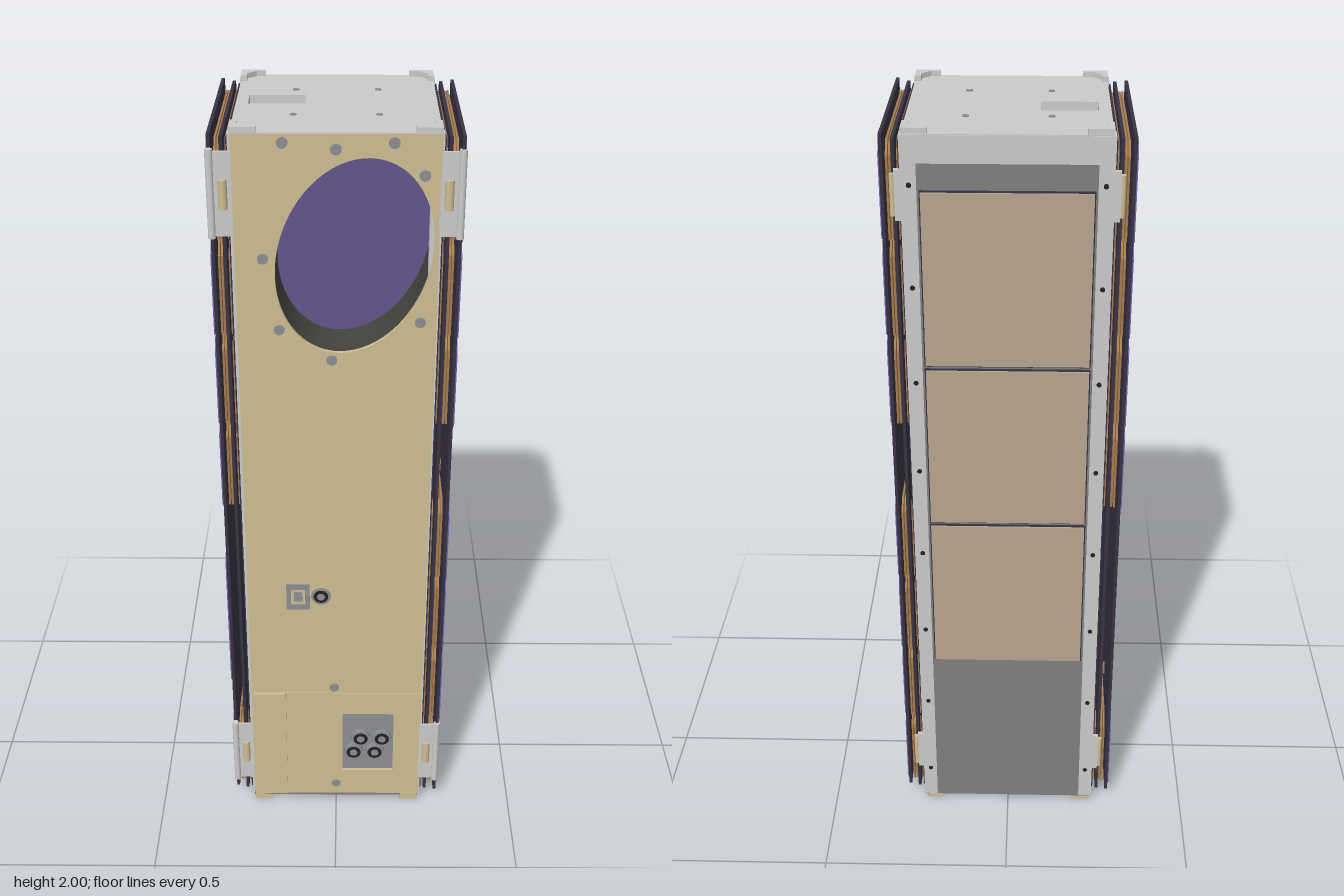
import * as THREE from 'three';

const mat = (color) => new THREE.MeshStandardMaterial({ color });
const GREY = mat(0xcccccc), TAN = mat(0xd0be94), CELL = mat(0x7464b0), BOARD = mat(0x3a3444),
  DARK = mat(0x44443f), PLATE = mat(0x808080), PATCH = mat(0xb8a58e), METAL = mat(0x8c8f94),
  BROWN = mat(0xa87c50), BLACK = mat(0x222222), LENS = mat(0x64558e);

export function createModel() {
  const root = new THREE.Group();

  const add = (name, geo, m, x = 0, y = 0, z = 0) => {
    const mesh = new THREE.Mesh(geo, m);
    mesh.name = name;
    mesh.position.set(x, y, z);
    root.add(mesh);
    return mesh;
  };
  // box given by its limits on each axis
  const box = (name, m, x0, x1, y0, y1, z0, z1) =>
    add(name, new THREE.BoxGeometry(Math.abs(x1 - x0), y1 - y0, z1 - z0), m, (x0 + x1) / 2, (y0 + y1) / 2, (z0 + z1) / 2);
  // cylinder along the z axis, used for screws and sockets
  const stud = (name, m, r, x, y, z, h) => {
    const mesh = add(name, new THREE.CylinderGeometry(r, r, h, 20), m, x, y, z);
    mesh.rotation.x = Math.PI / 2;
    return mesh;
  };
  const poly = (pts) => new THREE.Shape(pts.map(([x, y]) => new THREE.Vector2(x, y)));
  const rect = (x0, x1, y0, y1) => poly([[x0, y0], [x1, y0], [x1, y1], [x0, y1]]);
  const extrude = (shape, depth) => new THREE.ExtrudeGeometry(shape, { depth, bevelEnabled: false, curveSegments: 48 });
  const ellipse = () => new THREE.Path().absellipse(0.042, 1.69, 0.178, 0.245, 0, Math.PI * 2, true, -0.29);

  // Body core, with a front part bored out for the slanted oval aperture
  box('bodyCore', DARK, -0.232, 0.232, 0.02, 1.95, -0.235, 0.103);
  const frame = rect(-0.232, 0.232, 0.02, 1.95);
  frame.holes.push(ellipse());
  add('apertureBlock', extrude(frame, 0.125), DARK, 0, 0, 0.103);
  add('apertureFloor', new THREE.ShapeGeometry(new THREE.Shape(ellipse().getPoints(48).reverse()), 48), LENS, 0, 0, 0.105);

  // Front panel with the aperture and the socket bay cut out
  const front = rect(-0.235, 0.238, 0.025, 1.985);
  front.holes.push(ellipse(), rect(0.018, 0.162, 0.115, 0.325));
  add('frontPanel', extrude(front, 0.01), TAN, 0, 0, 0.228);
  const lower = rect(-0.14, 0.235, 0.03, 0.4);
  lower.holes.push(rect(0.018, 0.162, 0.115, 0.325));
  add('lowerFrontPlate', extrude(lower, 0.003), TAN, 0, 0, 0.237);
  box('lowerFrontCover', TAN, -0.23, -0.14, 0.03, 0.4, 0.237, 0.247);

  // Socket bay and the small sockets above it
  box('socketBayFloor', METAL, 0.018, 0.162, 0.115, 0.325, 0.227, 0.231);
  const socket = (x, y, r) => {
    stud('socketRing', METAL, r, x, y, 0.235, 0.014);
    stud('socketCore', BLACK, r * 0.75, x, y, 0.237, 0.012);
    stud('socketPin', METAL, r * 0.4, x, y, 0.238, 0.013);
  };
  for (const [x, y] of [[0.07, 0.235], [0.13, 0.235], [0.05, 0.185], [0.11, 0.185]]) socket(x, y, 0.027);
  socket(-0.04, 0.732, 0.026);
  const port = rect(-0.132, -0.07, 0.69, 0.77);
  port.holes.push(rect(-0.12, -0.082, 0.705, 0.755));
  add('portFrame', extrude(port, 0.006), METAL, 0, 0, 0.237);
  box('portInner', METAL, -0.112, -0.09, 0.715, 0.745, 0.237, 0.241);

  for (const [x, y] of [[0, 1.95], [-0.12, 1.965], [0.13, 1.965], [0.2, 1.89], [-0.17, 1.69],
    [-0.135, 1.51], [0.2, 1.53], [-0.01, 1.43], [-0.005, 0.42], [0, 0.065]])
    stud('frontScrew', METAL, 0.013, x, y, 0.238, 0.006);

  // Corner rails
  for (const sx of [-1, 1]) {
    box('frontRail', GREY, sx * 0.215, sx * 0.242, 0.02, 1.985, 0.205, 0.235);
    box('backRail', GREY, sx * 0.205, sx * 0.242, 0.02, 1.985, -0.242, -0.205);
    for (let i = 0; i < 8; i++) stud('railScrew', BLACK, 0.006, sx * 0.222, 0.12 + i * 0.25, -0.242, 0.004);
  }

  // Top plate with a pocket, screws and corner brackets
  const top = rect(-0.237, 0.237, -0.235, 0.24);
  top.holes.push(rect(-0.208, -0.074, -0.013, 0.058));
  add('topPlate', extrude(top, 0.04), GREY, 0, 1.947, 0).rotation.x = -Math.PI / 2;
  box('pocketFloor', DARK, -0.21, -0.07, 1.945, 1.952, -0.06, 0.015);
  for (const x of [-0.099, 0.099]) for (const z of [-0.105, 0.1])
    add('topScrew', new THREE.CylinderGeometry(0.008, 0.008, 0.004, 16), METAL, x, 1.987, z);
  for (const sx of [-1, 1]) for (const sz of [-1, 1]) {
    // L-shaped bracket, drawn for each corner
    const pts = [[0.238, 0.238], [0.178, 0.238], [0.178, 0.226], [0.2, 0.226], [0.222, 0.204], [0.222, 0.182], [0.238, 0.182]]
      .map(([x, z]) => [x * sx, z * sz]);
    add('topBracket', extrude(poly(pts), 0.013), GREY, 0, 1.987, 0).rotation.x = -Math.PI / 2;
    // Feet below
    box('foot', TAN, sx * 0.185, sx * 0.235, 0, 0.03, sz > 0 ? 0.185 : -0.235, sz > 0 ? 0.235 : -0.185);
  }

  // Bottom plate and nozzle ring
  box('bottomPlate', PLATE, -0.237, 0.237, 0.015, 0.03, -0.238, 0.235);
  const ring = [[0.05, 0.016], [0.05, 0.002], [0.068, 0.002], [0.08, 0.008], [0.08, 0.016]].map(([r, y]) => new THREE.Vector2(r, y));
  const ringMat = METAL.clone();
  ringMat.side = THREE.DoubleSide;
  add('nozzleRing', new THREE.LatheGeometry(ring, 40), ringMat);
  add('nozzleOpening', new THREE.CylinderGeometry(0.052, 0.052, 0.004, 32), BLACK, 0, 0.014, 0);

  // Back: grey panel, top strip and three patch plates
  box('backPanel', PLATE, -0.207, 0.207, 0.025, 1.93, -0.241, -0.23);
  box('backTopStrip', GREY, -0.21, 0.21, 1.92, 1.985, -0.242, -0.23);
  for (let i = 0; i < 3; i++) {
    const y = 0.52 + i * 0.448;
    box('patchBorder', BOARD, -0.2, 0.2, y, y + 0.442, -0.245, -0.24);
    box('patchPlate', PATCH, -0.197, 0.197, y + 0.004, y + 0.438, -0.25, -0.244);
  }

  // Solar cell facing outward on side s, with clipped upper corners
  const cell = (name, m, s, x, z0, z1, y0, y1, t) => {
    const w = (z1 - z0) / 2, c = 0.03;
    const shape = poly([[-w, y0], [w, y0], [w, y1 - c], [w - c, y1], [c - w, y1], [-w, y1 - c]]);
    add(name, extrude(shape, t), m, s * x, 0, (z0 + z1) / 2).rotation.y = s * Math.PI / 2;
  };
  const rows = { '1': [0.06, 0.3, 0.54, 0.78, 1.245, 1.487, 1.73], '-1': [0.06, 1.005, 1.245, 1.487, 1.73] };

  // Folded solar wings on both sides
  for (const s of [-1, 1]) {
    const zb = s > 0 ? -0.222 : -0.234, zf = s > 0 ? 0.235 : 0.222;
    box('sideBoard', BOARD, s * 0.23, s * 0.246, 0.04, 1.97, -0.225, 0.225);
    box('innerWing', BOARD, s * 0.253, s * 0.261, 0.04, 1.975, -0.23, 0.23);
    box('outerWing', BOARD, s * 0.281, s * 0.289, 0.04, 1.98, zb, zf);
    for (const y of rows[s]) {
      cell('outerCell', CELL, s, 0.289, zb + 0.008, zf - 0.005, y, y + 0.232, 0.0035);
      cell('middleCell', BROWN, s, 0.263, -0.22, 0.218, y, y + 0.232, 0.005);
      cell('backingCell', BROWN, s, 0.27, -0.222, 0.218, y, y + 0.232, 0.005);
      cell('bodyCell', BROWN, s, 0.246, -0.215, 0.215, y, y + 0.232, 0.004);
    }
    // Spacers between the stacked wings
    for (const y of [0.3, 1, 1.7]) box('wingSpacer', BROWN, s * 0.243, s * 0.285, y - 0.015, y + 0.015, -0.01, 0.01);

    // Hinges along the front edge, catches along the back edge
    for (const y of [0.185, 1.845]) {
      add('outerHinge', new THREE.CylinderGeometry(0.009, 0.009, 0.21, 16), GREY, s * 0.284, y, 0.236);
      add('innerHinge', new THREE.CylinderGeometry(0.011, 0.011, 0.07, 16), TAN, s * 0.256, y, 0.236);
      box('hingeLink', GREY, s * 0.235, s * 0.284, y - 0.1, y + 0.1, 0.232, 0.238);
      box('catch', GREY, s * 0.238, s * 0.256, y - 0.06, y + 0.06, -0.241, -0.23);
      add('catchPin', new THREE.CylinderGeometry(0.007, 0.007, 0.1, 12), TAN, s * 0.26, y, -0.235);
    }
  }

  // Contact tabs in the bare band of the +x wing
  for (const y of [1.028, 1.227]) for (const z of [-0.135, -0.12, 0.137, 0.152])
    box('contactTab', GREY, 0.289, 0.292, y - 0.009, y + 0.009, z - 0.004, z + 0.004);

  // Upright cell and slot frame on the -x wing
  cell('uprightCell', CELL, -1, 0.289, 0, 0.217, 0.43, 0.85, 0.0035);
  const slot = rect(-0.022, 0.022, 0.58, 0.82);
  slot.holes.push(rect(-0.012, 0.012, 0.595, 0.805));
  add('slotFrame', extrude(slot, 0.004), TAN, -0.288, 0, -0.11).rotation.y = -Math.PI / 2;
  box('slotOpening', BLACK, -0.2895, -0.286, 0.59, 0.81, -0.123, -0.097);

  return root;
}
